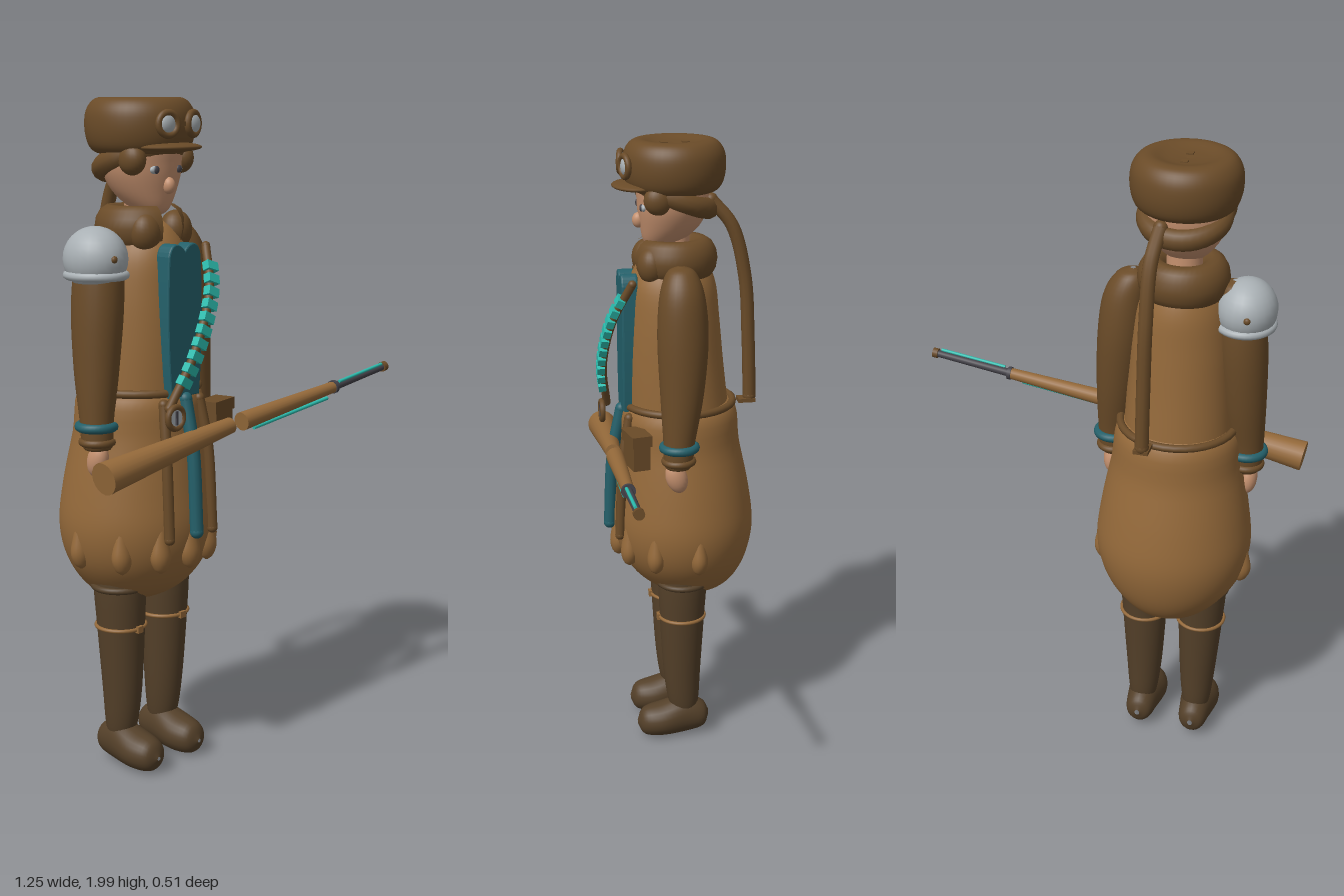
import * as THREE from 'three';

const mat = (name, color) => Object.assign(new THREE.MeshStandardMaterial({ color }), { name });
const coat = mat('tan coat', 0x94693a), leather = mat('brown leather', 0x6a4b28), boot = mat('dark boots', 0x544029);
const teal = mat('dark teal', 0x24606a), turquoise = mat('turquoise', 0x2cbcae), silver = mat('silver', 0xa9b0b4);
const skin = mat('skin', 0xc4906e), gunmetal = mat('gunmetal', 0x45434a);
const CX = -0.27; // middle of the figure
const V = (x, y, z) => new THREE.Vector3(x, y, z);

// Smooth closed body through elliptical rings [y, cx, cz, rx, rz], bottom to top
function loft(rings, seg = 32, sub = 5) {
  const mid = new THREE.CatmullRomCurve3(rings.map(r => V(r[1], r[0], r[2])), false, 'catmullrom');
  const rad = new THREE.CatmullRomCurve3(rings.map(r => V(r[3], 0, r[4])), false, 'catmullrom');
  const n = (rings.length - 1) * sub, pos = [], idx = [];
  for (let i = 0; i <= n; i++) {
    const c = mid.getPoint(i / n), r = rad.getPoint(i / n);
    for (let j = 0; j < seg; j++) {
      const a = j / seg * Math.PI * 2;
      pos.push(c.x + Math.max(r.x, 0.001) * Math.sin(a), c.y, c.z + Math.max(r.z, 0.001) * Math.cos(a));
      if (i < n) {
        const k = (j + 1) % seg, A = i * seg + j, B = i * seg + k;
        idx.push(A, B, B + seg, A, B + seg, A + seg);
      }
    }
  }
  const g = new THREE.BufferGeometry();
  g.setAttribute('position', new THREE.Float32BufferAttribute(pos, 3));
  g.setIndex(idx);
  g.computeVertexNormals();
  return g;
}

export function createModel() {
  const root = new THREE.Group();
  root.name = 'explorer';
  const add = (name, geo, m, p = [0, 0, 0], s = [1, 1, 1], r = [0, 0, 0]) => {
    const o = new THREE.Mesh(geo, m);
    o.name = name;
    o.position.set(...p); o.scale.set(...s); o.rotation.set(...r);
    root.add(o);
    return o;
  };
  const ball = (name, m, p, s) => add(name, new THREE.SphereGeometry(1, 24, 16), m, p, s);
  // Horizontal ring
  const ring = (name, m, p, r, tube, s = [1, 1]) =>
    add(name, new THREE.TorusGeometry(r, tube, 10, 36), m, p, [s[0], s[1], 1], [Math.PI / 2, 0, 0]);
  // Straight round bar between two points
  const rod = (name, m, a, b, ra, rb = ra) => {
    const A = V(...a), B = V(...b), d = B.clone().sub(A);
    const o = add(name, new THREE.CylinderGeometry(rb, ra, d.length(), 20), m);
    o.position.copy(A).add(B).multiplyScalar(0.5);
    o.quaternion.setFromUnitVectors(V(0, 1, 0), d.normalize());
  };
  // Curved cord with rounded ends
  const cord = (name, m, pts, r) => {
    const curve = new THREE.CatmullRomCurve3(pts.map(p => V(...p)));
    add(name, new THREE.TubeGeometry(curve, 32, r, 10), m);
    for (const p of [pts[0], pts[pts.length - 1]]) ball(name + 'End', m, p, [r, r, r]);
    return curve;
  };

  // Coat
  add('coatSkirt', loft([[0.505, CX, -0.06, 0.01, 0.01], [0.53, CX, -0.055, 0.1, 0.1], [0.58, CX, -0.042, 0.165, 0.165],
    [0.66, CX, -0.032, 0.218, 0.21], [0.76, CX, -0.028, 0.24, 0.229], [0.88, CX, -0.025, 0.228, 0.218],
    [1.03, CX, -0.018, 0.2, 0.194], [1.17, CX, -0.015, 0.17, 0.17], [1.18, CX, -0.015, 0.02, 0.02]], 48), coat);
  add('coatTorso', loft([[1.14, CX, -0.01, 0.165, 0.166], [1.3, CX, 0, 0.157, 0.158], [1.45, CX, 0.004, 0.147, 0.148],
    [1.56, CX, 0.005, 0.128, 0.136], [1.63, CX, 0.005, 0.085, 0.1], [1.66, CX, 0.02, 0.03, 0.04]], 40), coat);
  ring('waistBelt', leather, [CX, 1.17, -0.015], 0.174, 0.012);
  const collar = new THREE.TorusGeometry(0.088, 0.046, 14, 40, Math.PI * 2 - 0.6);
  collar.rotateZ(Math.PI / 2 + 0.3);
  add('collar', collar, leather, [CX, 1.635, -0.004], [1, 1, 1.4], [Math.PI / 2, 0, 0]);
  for (const s of [-1, 1])
    ball('collarEnd', leather, [CX + s * 0.062, 1.625, 0.076], [0.05, 0.058, 0.046]);
  // Hanging drops around the hem
  for (const a of [-95, -57, -27, 0, 27, 57, 95]) {
    const t = a * Math.PI / 180;
    const x = CX + 0.218 * Math.sin(t), z = -0.028 + 0.214 * Math.cos(t);
    add('hemDrop', loft([[0.645, x, z, 0.004, 0.004], [0.66, x, z, 0.022, 0.02], [0.695, x, z, 0.034, 0.028],
      [0.75, x, z, 0.024, 0.02], [0.83, x, z, 0.006, 0.008]], 16), coat);
  }

  // Chest panel with a cleft top, and hanging front strips
  const p = new THREE.Shape();
  p.moveTo(-0.055, 1.16);
  p.lineTo(0.055, 1.16);
  p.quadraticCurveTo(0.075, 1.35, 0.062, 1.56);
  p.bezierCurveTo(0.05, 1.61, 0.015, 1.59, 0, 1.57);
  p.bezierCurveTo(-0.015, 1.59, -0.05, 1.61, -0.062, 1.56);
  p.quadraticCurveTo(-0.075, 1.35, -0.055, 1.16);
  add('chestPanel', new THREE.ExtrudeGeometry(p, { depth: 0.04, bevelSize: 0.004, bevelThickness: 0.006, bevelSegments: 2 }),
    teal, [CX, 0, 0.126]);
  cord('frontSash', teal, [[CX, 1.15, 0.17], [CX, 1, 0.2], [CX, 0.76, 0.214]], 0.02);
  for (const s of [-1, 1])
    cord('frontStrap', leather, [[CX + s * 0.075, 1.14, 0.155], [CX + s * 0.088, 1, 0.178], [CX + s * 0.092, 0.75, 0.192]], 0.016);

  // Bandolier of bright blocks
  const band = cord('bandolier', leather, [[-0.155, 1.58, 0.145], [-0.2, 1.46, 0.2], [-0.29, 1.29, 0.224], [-0.375, 1.14, 0.205]], 0.013);
  for (let i = 0; i < 10; i++) {
    const t = 0.13 + i * 0.078;
    const b = add('bandolierBlock', new THREE.BoxGeometry(0.042, 0.026, 0.024), turquoise);
    b.position.copy(band.getPointAt(t)).add(V(0, 0, 0.008));
    b.quaternion.setFromUnitVectors(V(0, 1, 0), band.getTangentAt(t).negate());
  }
  add('compassRim', new THREE.TorusGeometry(0.031, 0.009, 10, 28), leather, [-0.367, 1.115, 0.222]);
  add('compassFace', new THREE.CylinderGeometry(0.029, 0.029, 0.012, 24), silver, [-0.367, 1.115, 0.22], [1, 1, 1], [Math.PI / 2, 0, 0]);
  add('compassNeedle', new THREE.BoxGeometry(0.008, 0.04, 0.004), gunmetal, [-0.367, 1.115, 0.228]);
  add('beltPouch', new THREE.BoxGeometry(0.095, 0.1, 0.055), leather, [-0.105, 1.06, 0.143], [1, 1, 1], [0, 0.2, 0]);
  add('beltPouchFlap', new THREE.BoxGeometry(0.11, 0.035, 0.065), leather, [-0.107, 1.105, 0.143], [1, 1, 1], [0, 0.2, 0]);

  // Arms, hands, boots and legs, mirrored about the figure's middle
  for (const s of [-1, 1]) {
    const X = d => CX + s * d;
    add('sleeve', loft([[1.01, X(0.208), 0.02, 0.01, 0.01], [1.02, X(0.208), 0.02, 0.043, 0.043], [1.1, X(0.206), 0.016, 0.05, 0.05],
      [1.25, X(0.194), 0.005, 0.064, 0.068], [1.42, X(0.182), 0, 0.072, 0.079], [1.55, X(0.172), 0, 0.066, 0.07],
      [1.62, X(0.155), 0, 0.045, 0.045], [1.64, X(0.15), 0, 0.008, 0.008]], 28), leather);
    ring('bracelet', teal, [X(0.207), 1.08, 0.016], 0.05, 0.014);
    ring('cuff', leather, [X(0.207), 1.035, 0.018], 0.043, 0.012);
    add('hand', new THREE.SphereGeometry(1, 20, 14), skin, [X(0.214), 0.982, 0.026], [0.028, 0.052, 0.034], [0.3, 0, 0]);

    add('leg', loft([[0.07, X(0.09), -0.02, 0.03, 0.03], [0.13, X(0.09), -0.015, 0.046, 0.05], [0.25, X(0.09), -0.01, 0.058, 0.062],
      [0.45, X(0.093), -0.01, 0.071, 0.074], [0.58, X(0.095), -0.012, 0.077, 0.08], [0.68, X(0.095), -0.015, 0.07, 0.075]], 28), boot);
    ring('kneeStrap', coat, [X(0.093), 0.45, -0.01], 0.074, 0.006);
    add('kneeBuckle', new THREE.BoxGeometry(0.022, 0.02, 0.012), coat, [X(0.093), 0.45, 0.068]);
    ring('bootTop', boot, [X(0.095), 0.575, -0.012], 0.077, 0.01);
    const foot = loft([[-0.1, 0, -0.075, 0.008, 0.01], [-0.08, 0, -0.074, 0.04, 0.046], [-0.02, 0, -0.078, 0.052, 0.066],
      [0.06, 0, -0.065, 0.062, 0.058], [0.12, 0, -0.06, 0.045, 0.045], [0.142, 0, -0.058, 0.006, 0.006]], 24);
    add('foot', foot.rotateX(Math.PI / 2), boot, [X(0.09), 0, 0]);
  }

  // Shoulder armour on one arm
  ball('shoulderPlate', silver, [-0.457, 1.555, 0], [0.088, 0.092, 0.097]);
  ring('shoulderRim', silver, [-0.455, 1.51, 0], 0.078, 0.013, [1, 1.08]);
  for (const z of [-0.094, 0.094]) ball('shoulderRivet', leather, [-0.475, 1.56, z], [0.01, 0.01, 0.008]);

  // Head, face and hair
  add('neck', new THREE.CylinderGeometry(0.05, 0.055, 0.16, 24), skin, [CX, 1.65, 0]);
  add('head', loft([[1.665, CX, 0.045, 0.01, 0.01], [1.685, CX, 0.035, 0.048, 0.055], [1.74, CX, 0.01, 0.094, 0.094],
    [1.81, CX, 0, 0.122, 0.112], [1.88, CX, 0, 0.112, 0.105], [1.91, CX, 0, 0.02, 0.02]]), skin);
  ball('nose', skin, [CX, 1.755, 0.108], [0.018, 0.024, 0.02]);
  for (const s of [-1, 1]) {
    ball('eyeWhite', silver, [CX + s * 0.046, 1.8, 0.098], [0.018, 0.012, 0.01]);
    ball('pupil', gunmetal, [CX + s * 0.046, 1.8, 0.105], [0.01, 0.011, 0.006]);
    ball('sideHair', leather, [CX + s * 0.098, 1.83, 0.06], [0.034, 0.045, 0.045]);
  }
  add('hairBand', new THREE.TorusGeometry(0.105, 0.033, 12, 36), leather, [CX, 1.825, -0.012], [1, 1, 1], [Math.PI / 2 - 0.35, 0, 0]);
  cord('ponytail', leather, [[-0.225, 1.82, -0.11], [-0.215, 1.74, -0.175], [-0.215, 1.58, -0.217], [-0.215, 1.38, -0.23], [-0.215, 1.19, -0.236]], 0.021);
  add('ponytailTie', new THREE.BoxGeometry(0.045, 0.012, 0.055), leather, [-0.215, 1.178, -0.225]);

  // Cap with goggles
  const cap = new THREE.SplineCurve([[0, 1.84], [0.1, 1.84], [0.14, 1.855], [0.157, 1.9], [0.156, 1.955], [0.136, 1.99],
    [0.105, 2], [0.06, 1.99], [0, 1.985]].map(a => new THREE.Vector2(...a))).getPoints(40);
  cap.forEach(v => { v.x = Math.max(v.x, 0); v.y = Math.min(v.y, 2); });
  add('cap', new THREE.LatheGeometry(cap, 48), leather, [CX, 0, -0.004]);
  ball('capPeak', leather, [CX, 1.862, 0.115], [0.105, 0.014, 0.075]);
  for (const z of [-0.04, 0.028]) add('capStitch', new THREE.BoxGeometry(0.02, 0.01, 0.022), leather, [CX, 1.986, z]);
  for (const s of [-1, 1]) {
    add('goggleRim', new THREE.TorusGeometry(0.031, 0.01, 10, 28), leather, [CX + s * 0.051, 1.927, 0.155], [1, 1, 1], [0, s * 0.25, 0]);
    ball('goggleLens', silver, [CX + s * 0.051, 1.927, 0.15], [0.03, 0.03, 0.018]);
  }
  add('goggleBridge', new THREE.BoxGeometry(0.03, 0.012, 0.012), leather, [CX, 1.927, 0.158]);

  // Long rifle
  rod('rifleStock', coat, [-0.625, 0.98, 0.194], [-0.125, 1.055, 0.216], 0.047, 0.024);
  rod('rifleForestock', coat, [-0.075, 1.058, 0.216], [0.35, 1.105, 0.231], 0.028, 0.018);
  rod('rifleBarrel', gunmetal, [0.34, 1.104, 0.231], [0.61, 1.138, 0.237], 0.013, 0.011);
  rod('rifleForeBand', gunmetal, [0.345, 1.105, 0.231], [0.357, 1.106, 0.231], 0.021);
  rod('rifleMuzzle', leather, [0.6, 1.137, 0.237], [0.617, 1.139, 0.237], 0.016);
  rod('rifleLowerTube', turquoise, [-0.03, 1.034, 0.226], [0.31, 1.076, 0.238], 0.006);
  rod('rifleUpperTube', turquoise, [0.37, 1.121, 0.239], [0.59, 1.149, 0.243], 0.005);
  return root;
}
